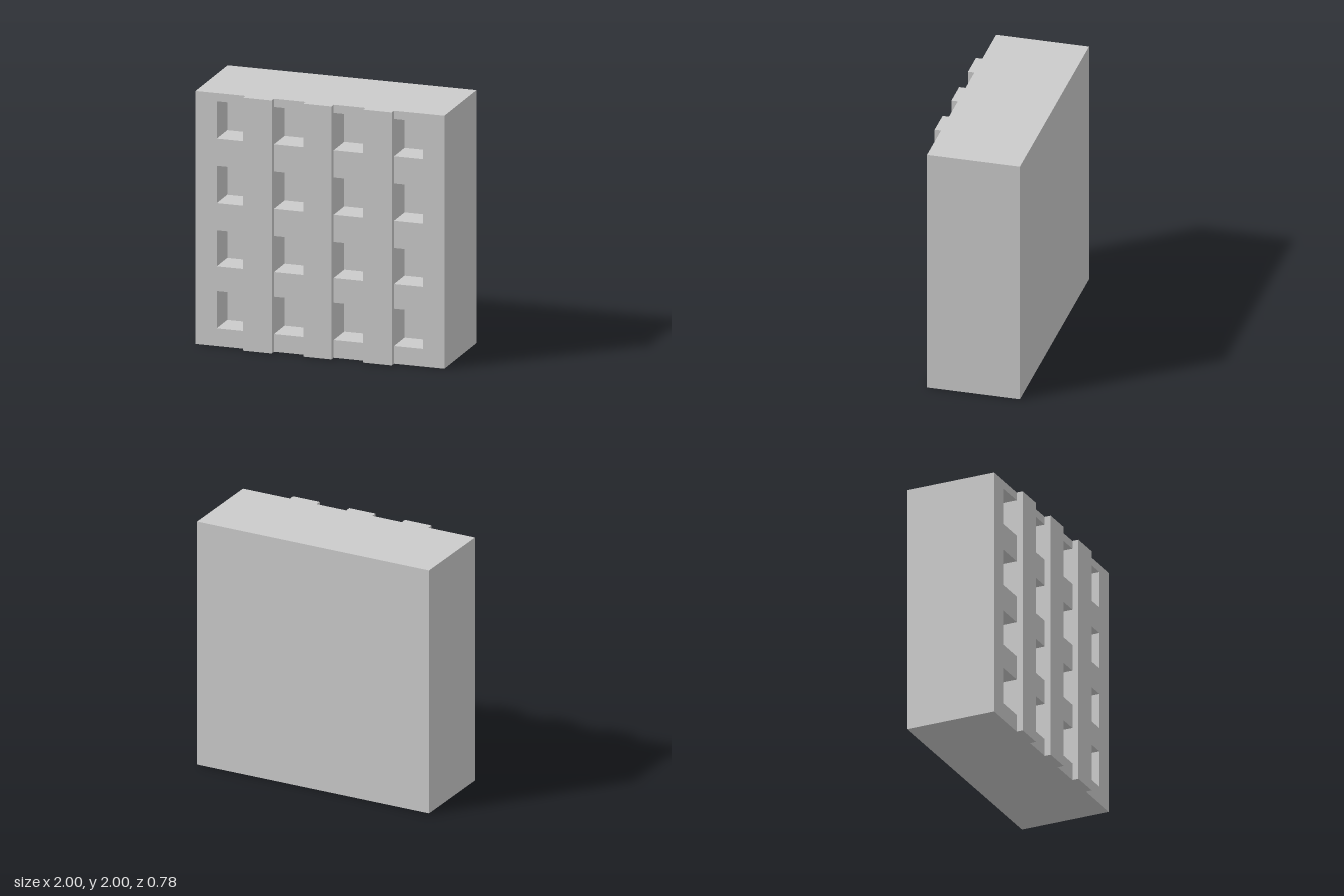
import * as THREE from 'three';

const BACK = -0.39, RECESS = 0.10, WALL = 0.34, FRONT = 0.39;
const HEIGHT = 2;
const columns = [[-0.83, -0.6], [-0.37, -0.115], [0.11, 0.365], [0.595, 0.83]];
const floors = [[0.14, 0.435], [0.63, 0.915], [1.13, 1.425], [1.64, 1.935]];

export function createModel() {
  const group = new THREE.Group();
  const material = new THREE.MeshStandardMaterial({ color: 0xcccccc, flatShading: true });

  const add = (name, geometry) => {
    const mesh = new THREE.Mesh(geometry, material);
    mesh.name = name;
    group.add(mesh);
  };

  // Box given by its limits, standing the full height of the building
  const block = (name, x0, x1, z0, z1) => add(name,
    new THREE.BoxGeometry(x1 - x0, HEIGHT, z1 - z0)
      .translate((x0 + x1) / 2, HEIGHT / 2, (z0 + z1) / 2));

  const trace = (path, x0, x1, y0, y1) => {
    path.moveTo(x0, y0);
    path.lineTo(x1, y0);
    path.lineTo(x1, y1);
    path.lineTo(x0, y1);
    path.closePath();
    return path;
  };

  // Solid body, whose front forms the back of the window recesses
  block('buildingBody', -1, 1, BACK, RECESS);

  // Front wall pierced by a grid of window openings
  const wall = trace(new THREE.Shape(), -1, 1, 0, HEIGHT);
  for (const [x0, x1] of columns) {
    for (const [y0, y1] of floors) {
      wall.holes.push(trace(new THREE.Path(), x0, x1, y0, y1));
    }
  }
  add('windowWall', new THREE.ExtrudeGeometry(wall, { depth: WALL - RECESS, bevelEnabled: false })
    .translate(0, 0, RECESS));

  // Full-height pilasters filling the gaps between window columns
  for (let i = 0; i < columns.length - 1; i++) {
    block('pilaster' + (i + 1), columns[i][1], columns[i + 1][0], WALL, FRONT);
  }

  return group;
}
